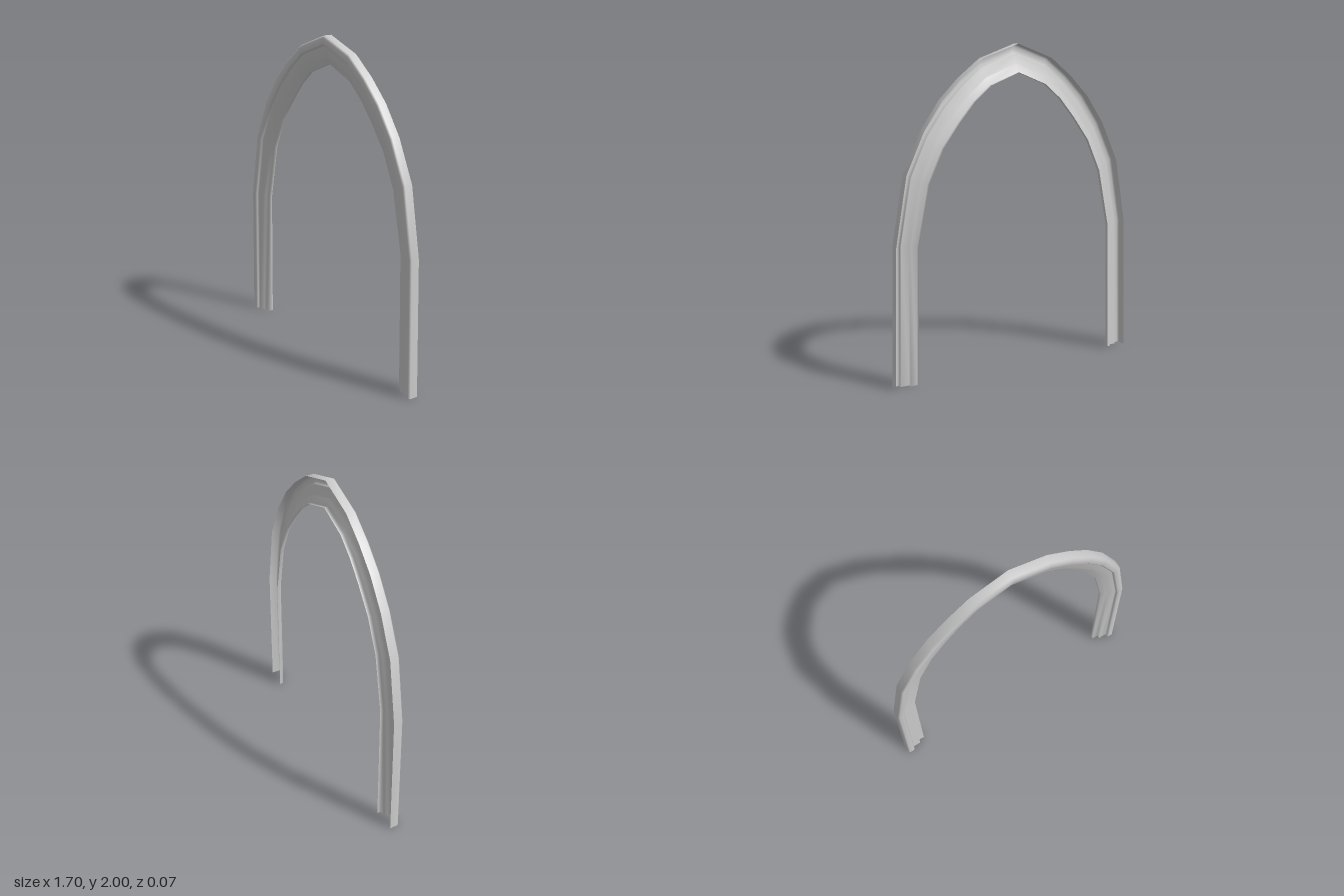
import * as THREE from 'three';

// Half of the pointed arch, from foot to apex: outer and inner edge [x, y]
const OUTER = [[0.848, 0], [0.83, 0.843], [0.757, 1.257], [0.64, 1.503], [0.518, 1.675], [0.388, 1.803], [0.242, 1.915], [0, 2]];
const INNER = [[0.704, 0], [0.689, 0.835], [0.614, 1.197], [0.52, 1.4], [0.408, 1.548], [0.306, 1.665], [0.198, 1.755], [0, 1.83]];

// Moulding section: [share of the way from outer to inner edge, z];
// a rounded bead followed by two steps, open at the back
const PROFILE = [
  [0, -0.027], [0, 0.024], [0.07, 0.034], [0.27, 0.034], [0.34, 0.025],
  [0.345, 0.01], [0.71, 0.01], [0.715, -0.012], [1, -0.012], [1, -0.035],
];

// Mirror a half path so it runs from the +x foot over the apex to the -x foot
function fullPath(half) {
  const mirrored = half.slice(0, -1).reverse().map(([x, y]) => [-x, y]);
  return [...half, ...mirrored];
}

// Sweep the section along the arch, mitred at every joint
function mouldingGeometry() {
  const outer = fullPath(OUTER);
  const inner = fullPath(INNER);
  const n = PROFILE.length;
  const positions = [];
  const index = [];
  outer.forEach(([ox, oy], i) => {
    const [ix, iy] = inner[i];
    PROFILE.forEach(([t, z], j) => {
      positions.push(ox + (ix - ox) * t, oy + (iy - oy) * t, z);
      if (i < outer.length - 1 && j < n - 1) {
        const a = i * n + j;
        const b = a + n;
        index.push(a, b, a + 1, b, b + 1, a + 1);
      }
    });
  });
  const geometry = new THREE.BufferGeometry();
  geometry.setAttribute('position', new THREE.Float32BufferAttribute(positions, 3));
  geometry.setIndex(index);
  geometry.computeVertexNormals();
  return geometry;
}

export function createModel() {
  const group = new THREE.Group();
  group.name = 'pointedArch';
  const material = new THREE.MeshStandardMaterial({ color: 0xcccccc, side: THREE.DoubleSide });
  const moulding = new THREE.Mesh(mouldingGeometry(), material);
  moulding.name = 'archMoulding';
  group.add(moulding);
  return group;
}
